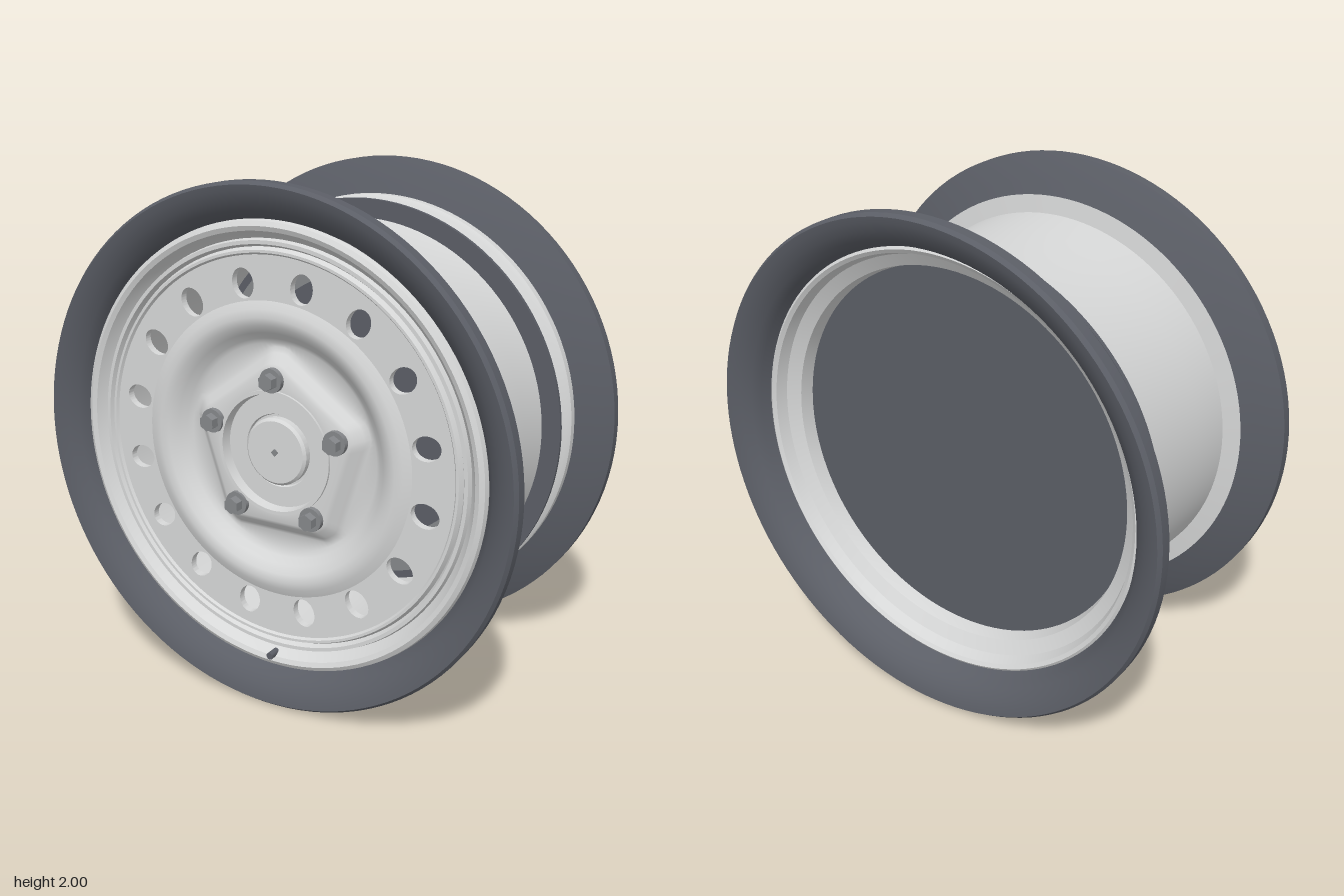
import * as THREE from 'three';
import { toCreasedNormals } from 'three/addons/utils/BufferGeometryUtils.js';

const SEGMENTS = 120;

export function createModel() {
  const model = new THREE.Group();
  model.name = 'wheel';
  const wheel = new THREE.Group();
  wheel.name = 'wheelAssembly';
  wheel.position.y = 1;
  model.add(wheel);

  const material = (name, color, side = THREE.FrontSide) => {
    const m = new THREE.MeshStandardMaterial({ color, side });
    m.name = name;
    return m;
  };
  const silver = material('silver', 0xd6d7d7, THREE.DoubleSide);
  const dark = material('darkGrey', 0x5b5e66);
  const steel = material('steelGrey', 0x85878a);

  const add = (name, geometry, mat, x = 0, y = 0, z = 0) => {
    const mesh = new THREE.Mesh(geometry, mat);
    mesh.name = name;
    mesh.position.set(x, y, z);
    wheel.add(mesh);
    return mesh;
  };

  // Revolve [radius, z] pairs about the z axis
  const revolve = (profile) => {
    const points = profile.map(([r, z]) => new THREE.Vector2(r, z));
    return new THREE.LatheGeometry(points, SEGMENTS).rotateX(Math.PI / 2);
  };
  const crease = (geometry, angle = 0.55) => toCreasedNormals(geometry, angle);

  // Cylinder whose axis runs along z
  const disc = (r, depth, sides) =>
    new THREE.CylinderGeometry(r, r, depth, sides).rotateX(Math.PI / 2);

  // Flared outer rings, mirrored front to back
  const flare = [
    [0.85, 0.395], [0.90, 0.415], [0.96, 0.44], [1, 0.46], [1, 0.505],
    [0.988, 0.52], [0.965, 0.515], [0.93, 0.50], [0.895, 0.475],
    [0.87, 0.445], [0.86, 0.41], [0.85, 0.395],
  ];
  add('frontFlare', crease(revolve(flare)), dark);
  const backFlare = flare.map(([r, z]) => [r, -z]).reverse();
  add('backFlare', crease(revolve(backFlare)), dark);

  // Barrel: inner wall, back lip, outer wall, front flange and lip
  add('rimBarrel', crease(revolve([
    [0.755, 0.39], [0.75, 0], [0.755, -0.27], [0.765, -0.325], [0.79, -0.34],
    [0.815, -0.355], [0.83, -0.40], [0.845, -0.41], [0.86, -0.40],
    [0.86, -0.365], [0.845, -0.35], [0.81, -0.335], [0.795, -0.32],
    [0.782, -0.25], [0.773, -0.1], [0.77, 0.05], [0.772, 0.2], [0.78, 0.385],
    [0.85, 0.395],
  ])), silver);
  add('frontLip', crease(revolve([
    [0.85, 0.395], [0.862, 0.43], [0.857, 0.45], [0.84, 0.46], [0.822, 0.452],
    [0.805, 0.425], [0.792, 0.41], [0.786, 0.43], [0.772, 0.43],
    [0.762, 0.41], [0.752, 0.43], [0.742, 0.43], [0.735, 0.42], [0.735, 0.39],
  ])), silver);

  // Flat face ring with sixteen vent holes
  const face = new THREE.Shape().absarc(0, 0, 0.737, 0, Math.PI * 2);
  face.holes.push(new THREE.Path().absarc(0, 0, 0.568, 0, Math.PI * 2, true));
  for (let i = 0; i < 16; i++) {
    const a = ((i + 0.5) / 16) * Math.PI * 2;
    face.holes.push(new THREE.Path().absellipse(
      0.635 * Math.cos(a), 0.635 * Math.sin(a), 0.056, 0.046,
      0, Math.PI * 2, true, a));
  }
  const ventRing = new THREE.ExtrudeGeometry(face, {
    depth: 0.03, bevelEnabled: false, curveSegments: 32,
  });
  add('ventRing', crease(ventRing), silver, 0, 0, 0.39);

  // Dished centre; radii between hub and dish are pushed out to a rounded pentagon
  const centre = revolve([
    [0.57, 0.42], [0.54, 0.433], [0.51, 0.44], [0.48, 0.432], [0.45, 0.408],
    [0.425, 0.385], [0.405, 0.372], [0.335, 0.37], [0.318, 0.38],
    [0.288, 0.412], [0.272, 0.42], [0.24, 0.42], [0.24, 0.43], [0.226, 0.43],
    [0.22, 0.39], [0.142, 0.39], [0.138, 0.38], [0.13, 0.38], [0.13, 0.405],
    [0.12, 0.415], [0, 0.415],
  ]);
  const pos = centre.attributes.position;
  const step = (Math.PI * 2) / 5;
  for (let i = 0; i < pos.count; i++) {
    const x = pos.getX(i), y = pos.getY(i), r = Math.hypot(x, y);
    if (r < 0.25 || r > 0.36) continue;
    const a = Math.atan2(x, y) + Math.PI * 2;
    const f = Math.min(1 / Math.cos((a % step) - step / 2), 1.17);
    pos.setXY(i, x * f, y * f);
  }
  add('wheelCentre', crease(centre, 0.7), silver);
  add('capPin', disc(0.014, 0.008, 4), steel, 0, 0, 0.417);

  // Five lug nuts at the pentagon corners
  for (let i = 0; i < 5; i++) {
    const x = 0.28 * Math.sin(i * step), y = 0.28 * Math.cos(i * step);
    add('lugWasher', crease(disc(0.046, 0.03, 28)), steel, x, y, 0.425);
    add('lugNut', crease(disc(0.032, 0.04, 6), 0.3), steel, x, y, 0.455);
  }

  // Valve stem, brake-side plate and the inner ring behind the vents
  add('valveStem', crease(disc(0.014, 0.05, 16)), dark, 0, -0.815, 0.45);
  add('backPlate', crease(disc(0.857, 0.016, SEGMENTS)), dark, 0, 0, -0.26);
  add('innerRing', new THREE.RingGeometry(0.56, 0.72, SEGMENTS), steel, 0, 0, -0.245);

  return model;
}
